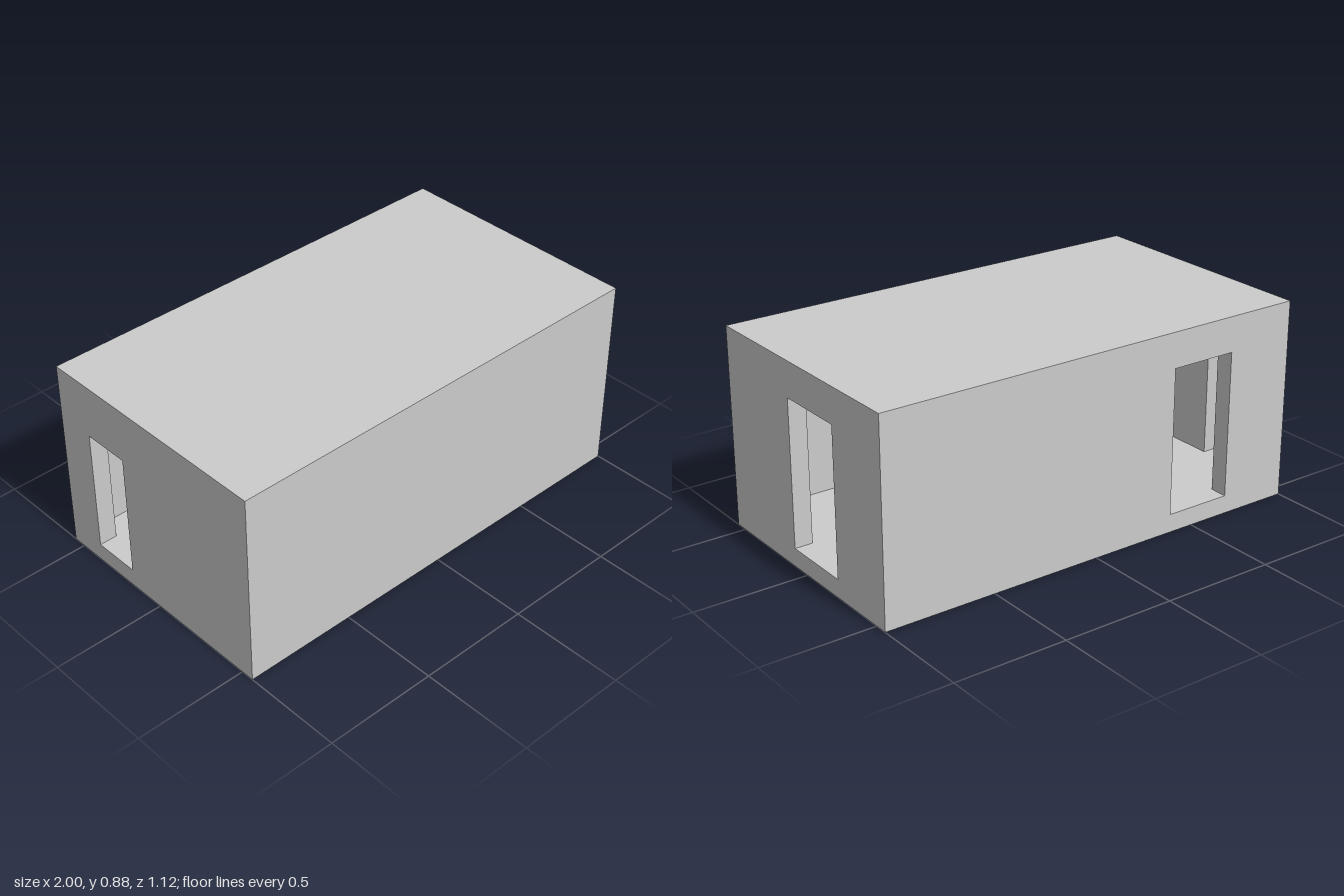
import * as THREE from 'three';

const W = 2, D = 1.116, H = 0.875; // outer size
const T = 0.08;                    // wall and floor thickness
const ROOF = 0.006;                // thin roof sheet
const WALL_TOP = H - ROOF;

const material = new THREE.MeshStandardMaterial({ color: 0xcccccc, flatShading: true });

// Box given by its minimum and maximum corners
function block(name, [x0, y0, z0], [x1, y1, z1]) {
  const mesh = new THREE.Mesh(new THREE.BoxGeometry(x1 - x0, y1 - y0, z1 - z0), material);
  mesh.name = name;
  mesh.position.set((x0 + x1) / 2, (y0 + y1) / 2, (z0 + z1) / 2);
  return mesh;
}

// Upright wall in the XY plane, with one rectangular opening
function wallWithOpening(name, u0, u1, [a, b, bottom, top]) {
  const shape = new THREE.Shape()
    .moveTo(u0, 0).lineTo(u1, 0).lineTo(u1, WALL_TOP).lineTo(u0, WALL_TOP).closePath();
  shape.holes.push(new THREE.Path()
    .moveTo(a, bottom).lineTo(a, top).lineTo(b, top).lineTo(b, bottom).closePath());
  const geometry = new THREE.ExtrudeGeometry(shape, { depth: T, bevelEnabled: false });
  const mesh = new THREE.Mesh(geometry, material);
  mesh.name = name;
  return mesh;
}

export function createModel() {
  const house = new THREE.Group();
  house.name = 'house';
  const x = W / 2, z = D / 2, xi = x - T, zi = z - T;

  // Slabs
  house.add(block('floor', [-xi, 0, -zi], [xi, T, zi]));
  house.add(block('roof', [-x, WALL_TOP, -z], [x, H, z]));

  // Solid front wall, back wall with doorway
  house.add(block('frontWall', [-x, 0, zi], [x, WALL_TOP, z]));
  const back = wallWithOpening('backWall', -x, x, [-0.685, -0.385, T, 0.72]);
  back.position.z = -z;
  house.add(back);

  // Side walls, turned so that shape x runs along -z
  const left = wallWithOpening('leftWall', -zi, zi, [-0.09, 0.23, T, 0.72]);
  left.rotation.y = Math.PI / 2;
  left.position.x = xi;
  const right = wallWithOpening('rightWall', -zi, zi, [0.17, 0.38, T, 0.635]);
  right.rotation.y = Math.PI / 2;
  right.position.x = -x;
  house.add(left, right);

  // Partitions inside
  house.add(block('rightPartition', [-xi, T, 0.09], [-0.35, WALL_TOP, 0.09 + T]));
  house.add(block('leftPartition', [0.3, T, -0.28 - T], [xi, WALL_TOP, -0.28]));

  return house;
}
